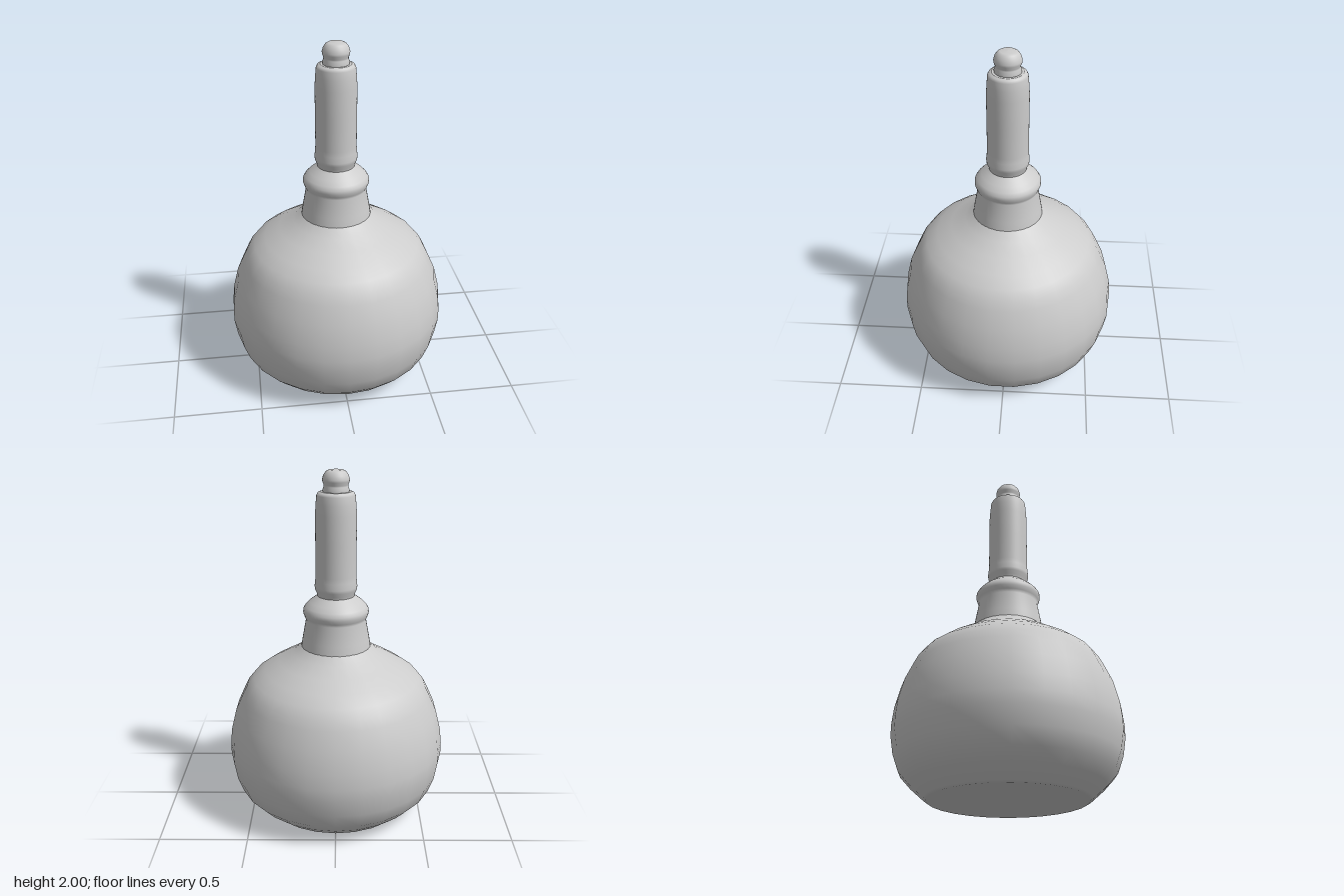
import * as THREE from 'three';

const material = new THREE.MeshStandardMaterial({ color: 0xcccccc, side: THREE.DoubleSide });

// Turned part from [radius, height] pairs, listed bottom to top
function turned(name, profile, sides) {
  const points = profile.map(([r, y]) => new THREE.Vector2(r, y));
  const mesh = new THREE.Mesh(new THREE.LatheGeometry(points, sides), material);
  mesh.name = name;
  return mesh;
}

export function createModel() {
  const group = new THREE.Group();
  group.name = 'bottle';

  // Round bulb with a flat underside and sloping shoulder
  group.add(turned('body', [
    [0, 0], [0.435, 0], [0.45, 0.01], [0.525, 0.075], [0.585, 0.14], [0.618, 0.23], [0.635, 0.33],
    [0.635, 0.4], [0.625, 0.49], [0.595, 0.61], [0.55, 0.71], [0.525, 0.76], [0.485, 0.81],
    [0.42, 0.858], [0.335, 0.91], [0.25, 0.957], [0.2, 1.0],
  ], 26));

  // Tapered neck ending in a rounded collar
  group.add(turned('neck', [
    [0.204, 0.975], [0.2, 1.0], [0.192, 1.05], [0.172, 1.16], [0.18, 1.178], [0.188, 1.2], [0.187, 1.22],
    [0.175, 1.24], [0.15, 1.265], [0.12, 1.287], [0.105, 1.3],
  ], 48));

  // Slim stem with a small bead at its foot
  group.add(turned('stem', [
    [0.105, 1.295], [0.109, 1.315], [0.119, 1.337], [0.121, 1.355], [0.117, 1.39], [0.115, 1.42],
    [0.115, 1.6], [0.115, 1.76], [0.111, 1.82], [0.107, 1.865], [0.1, 1.878], [0.085, 1.884],
  ], 48));
  group.add(turned('stemTop', [[0.085, 1.884], [0, 1.884]], 48));

  // Finial knob on its foot ring
  group.add(turned('knob', [
    [0.072, 1.88], [0.073, 1.895], [0.067, 1.912], [0.067, 1.92], [0.074, 1.938], [0.075, 1.95],
    [0.069, 1.972], [0.056, 1.99], [0.042, 1.998], [0, 2.0],
  ], 48));

  return group;
}
